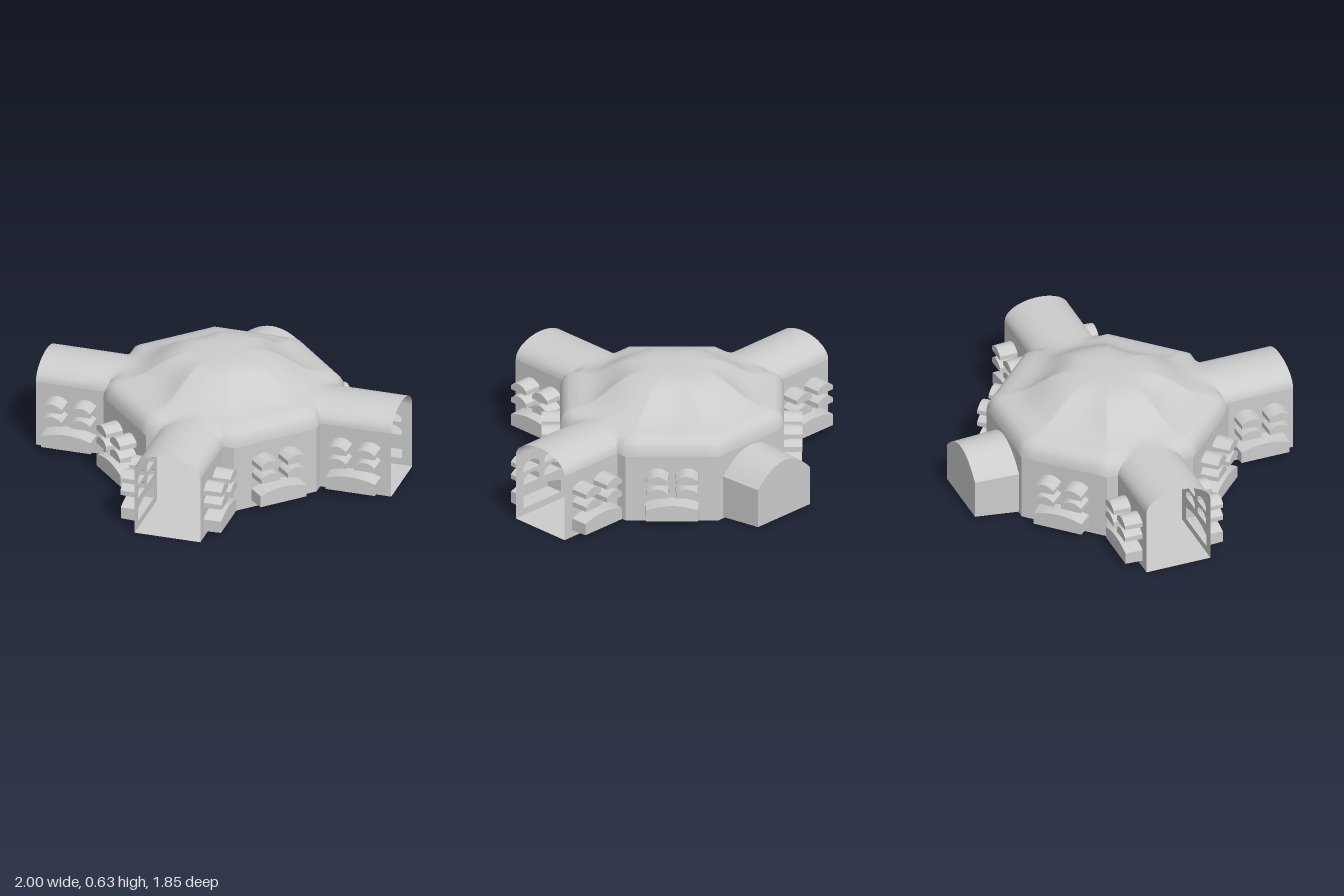
import * as THREE from 'three';
import { toCreasedNormals } from 'three/addons/utils/BufferGeometryUtils.js';

const APOTHEM = 0.6, CENTRE_Z = -0.075, TAN = Math.tan(Math.PI / 8);
const HALF_SIDE = APOTHEM * TAN;
const WALL_TOP = 0.38, VAULT_TOP = 0.485, HALL = 0.185, HALL_LENGTH = 0.4;

const V2 = (x, y) => new THREE.Vector2(x, y);
const V3 = (x, y, z) => new THREE.Vector3(x, y, z);

// Height of the elliptical hall vault at offset u from its middle
function vaultHeight(u) {
  const t = Math.min(1, Math.abs(u) / HALL);
  return WALL_TOP + (VAULT_TOP - WALL_TOP) * Math.sqrt(1 - t * t);
}

// Outline with a flat foot and a shallow arched head
function archOutline(cx, half, bottom, spring, top, n = 10) {
  const pts = [V2(cx - half, bottom), V2(cx + half, bottom)];
  for (let i = 0; i <= n; i++) {
    const t = 1 - (2 * i) / n;
    pts.push(V2(cx + half * t, spring + (top - spring) * (1 - t * t)));
  }
  return pts;
}

// Skin between successive rings of points
function loft(rings, closed, crease = 0.6) {
  const n = rings[0].length, index = [];
  for (let r = 0; r < rings.length - 1; r++) {
    for (let i = 0; i < (closed ? n : n - 1); i++) {
      const j = (i + 1) % n, a = r * n, b = a + n;
      index.push(a + i, a + j, b + j, a + i, b + j, b + i);
    }
  }
  const geo = new THREE.BufferGeometry().setFromPoints(rings.flat());
  geo.setIndex(index);
  return toCreasedNormals(geo, crease);
}

export function createModel() {
  const plaster = new THREE.MeshStandardMaterial({ color: 0xcccccc, side: THREE.DoubleSide });
  plaster.name = 'pale grey plaster';

  const model = new THREE.Group();
  model.name = 'octagonalHall';
  const building = new THREE.Group();
  building.name = 'building';
  building.position.z = CENTRE_Z;
  model.add(building);

  function add(parent, name, geo) {
    const mesh = new THREE.Mesh(geo, plaster);
    mesh.name = name;
    parent.add(mesh);
    return mesh;
  }

  // Hollow bay: open towards the wall, closed at its outer end
  function addBay(parent, name, inner, outer, depth) {
    add(parent, name + 'Sides', loft([
      inner.map(p => V3(p.x, p.y, 0)),
      outer.map(p => V3(p.x, p.y, depth)),
    ], true));
    add(parent, name + 'End', new THREE.ShapeGeometry(new THREE.Shape(outer)).translate(0, 0, depth));
  }

  // Flat wall with one wide bay below and two rows of paired bays above
  function windowWall(parent, name, width) {
    const group = new THREE.Group();
    group.name = name;
    const shape = new THREE.Shape([
      V2(-width / 2, 0), V2(width / 2, 0), V2(width / 2, WALL_TOP), V2(-width / 2, WALL_TOP),
    ]);
    const bays = [[0, 0.143, 0.04, 0.11, 0.137, 0.097]];
    for (const x of [-0.08, 0.08]) {
      bays.push([x, 0.061, 0.18, 0.21, 0.237, 0.1], [x, 0.061, 0.257, 0.285, 0.312, 0.1]);
    }
    for (const [x, half, bottom, spring, top, depth] of bays) {
      const inner = archOutline(x, half, bottom, spring, top);
      const outer = archOutline(x, half - 0.004, bottom + 0.002, spring - 0.002, top - 0.003);
      shape.holes.push(new THREE.Path(inner));
      addBay(group, 'windowBay', inner, outer, depth);
    }
    add(group, 'wall', new THREE.ShapeGeometry(shape));
    parent.add(group);
    return group;
  }

  // Open-ended vaulted hall, with narrow wall strips where it meets the octagon
  function addHall(side) {
    const end = APOTHEM + HALL_LENGTH, mid = APOTHEM + HALL_LENGTH / 2;
    const rings = [APOTHEM, end].map(z => Array.from({ length: 17 }, (_, i) => {
      const u = -HALL * Math.cos((i / 16) * Math.PI);
      return V3(u, vaultHeight(u), z);
    }));
    add(side, 'hallVault', loft(rings, false));
    add(side, 'hallFloor', new THREE.PlaneGeometry(HALL * 2, HALL_LENGTH)
      .rotateX(-Math.PI / 2).translate(0, 0, mid));
    for (const s of [-1, 1]) {
      const wall = windowWall(side, 'hallWall', HALL_LENGTH);
      wall.position.set(s * HALL, 0, mid);
      wall.rotation.y = s * Math.PI / 2;
      add(side, 'cornerWall', new THREE.PlaneGeometry(HALF_SIDE - HALL, WALL_TOP)
        .translate(s * (HALF_SIDE + HALL) / 2, WALL_TOP / 2, APOTHEM));
    }
  }

  // Rear wall opening into a closed, slightly tapered niche
  function addNiche(side) {
    const niche = new THREE.Group();
    niche.name = 'rearNiche';
    niche.position.z = APOTHEM;
    const inner = archOutline(0, 0.212, 0.008, 0.25, 0.37, 16);
    const outer = archOutline(0, 0.198, 0.03, 0.25, 0.36, 16);
    const wall = new THREE.Shape([
      V2(-HALF_SIDE, 0), V2(HALF_SIDE, 0), V2(HALF_SIDE, WALL_TOP), V2(-HALF_SIDE, WALL_TOP),
    ]);
    wall.holes.push(new THREE.Path(inner));
    add(niche, 'rearWall', new THREE.ShapeGeometry(wall));
    addBay(niche, 'niche', inner, outer, 0.25);
    side.add(niche);
  }

  // Eight sides: halls at front, left and right, niche at the back, windows between
  for (let k = 0; k < 8; k++) {
    const side = new THREE.Group();
    side.name = ['frontHall', 'frontLeftSide', 'leftHall', 'backLeftSide',
      'backSide', 'backRightSide', 'rightHall', 'frontRightSide'][k];
    side.rotation.y = k * Math.PI / 4;
    building.add(side);
    if (k % 2) windowWall(side, 'diagonalWall', HALF_SIDE * 2).position.z = APOTHEM;
    else if (k === 4) addNiche(side);
    else addHall(side);
  }

  // Octagonal floor
  add(building, 'floor', new THREE.CircleGeometry(APOTHEM / Math.cos(Math.PI / 8), 8, Math.PI / 8)
    .rotateX(-Math.PI / 2));

  // Roof: rounded cornice, flat shoulder and low dome; its rim lifts over the halls
  const profile = [
    [0.6, 0.38], [0.595, 0.415], [0.578, 0.448], [0.55, 0.47], [0.51, 0.482], [0.465, 0.494],
    [0.41, 0.523], [0.35, 0.565], [0.29, 0.6], [0.23, 0.622], [0.17, 0.63], [0.09, 0.634], [0.002, 0.635],
  ];
  const rings = profile.map(([apothem, y]) => {
    const ring = [], half = apothem * TAN;
    const squeeze = 0.13 * THREE.MathUtils.clamp((0.55 - apothem) / 0.12, 0, 1);
    for (let k = 0; k < 8; k++) {
      const angle = k * Math.PI / 4, isHall = k % 2 === 0 && k !== 4;
      const offsets = [-half];
      for (let i = 0; i <= 16; i++) {
        offsets.push(-HALL * Math.cos((i / 16) * Math.PI) * Math.min(1, half / 0.2));
      }
      for (const u of offsets) {
        const x = u * Math.cos(angle) + apothem * Math.sin(angle);
        const z = -u * Math.sin(angle) + apothem * Math.cos(angle);
        const pull = 1 - squeeze * Math.sin(2 * Math.atan2(x, z)) ** 2;
        const lifted = isHall && apothem > 0.47 ? Math.max(y, vaultHeight(u)) : y;
        ring.push(V3(x * pull, lifted, z * pull));
      }
    }
    return ring;
  });
  add(building, 'domedRoof', loft(rings, true, 0.9));

  return model;
}
